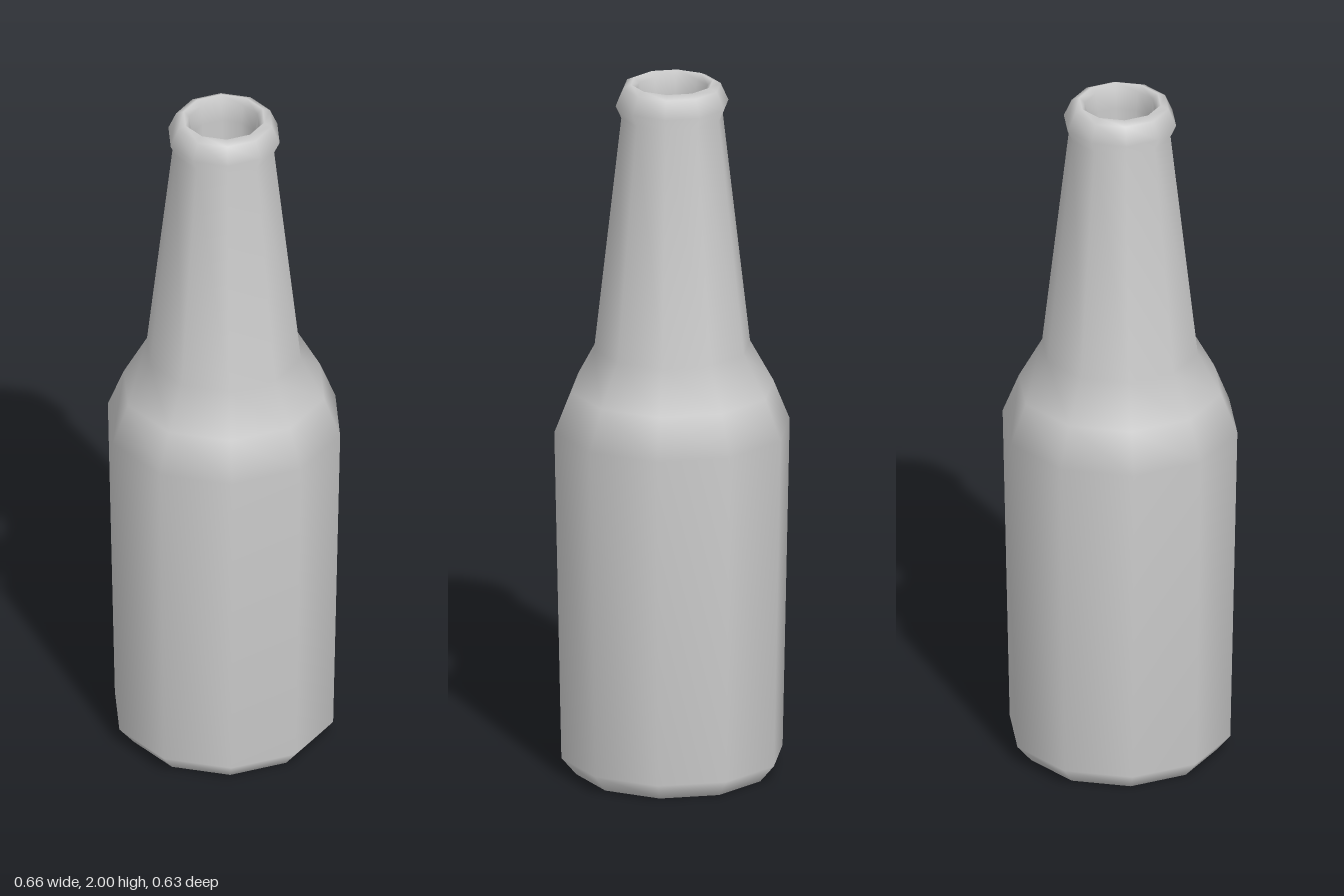
import * as THREE from 'three';

const SIDES = 10;

export function createModel() {
  const model = new THREE.Group();
  model.name = 'bottle';
  const glass = new THREE.MeshStandardMaterial({ color: 0xcccccc });

  const add = (name, geometry) => {
    const mesh = new THREE.Mesh(geometry, glass);
    mesh.name = name;
    model.add(mesh);
    return mesh;
  };

  // Ten-sided turned surface with corners on the x axis
  const turned = (profile) => new THREE.LatheGeometry(
    profile.map(([r, y]) => new THREE.Vector2(r, y)), SIDES, Math.PI / 2);

  // Outer wall, rolled lip and bore as one continuous smooth skin
  add('bottleWall', turned([
    [0.27, 0], [0.312, 0.05],                  // base chamfer
    [0.332, 1.0], [0.286, 1.115], [0.22, 1.235], // body and shoulder
    [0.143, 1.905],                            // tapered neck
    [0.159, 1.94], [0.137, 1.99], [0.115, 2.0],  // lip
    [0.1, 1.985], [0.092, 1.93], [0.09, 1.3],    // bore
  ]));

  // Flat underside
  add('base', new THREE.CircleGeometry(0.27, SIDES).rotateX(Math.PI / 2));

  // Floor closing the bore
  add('boreFloor', new THREE.CircleGeometry(0.09, SIDES).rotateX(-Math.PI / 2))
    .position.y = 1.3;

  return model;
}
